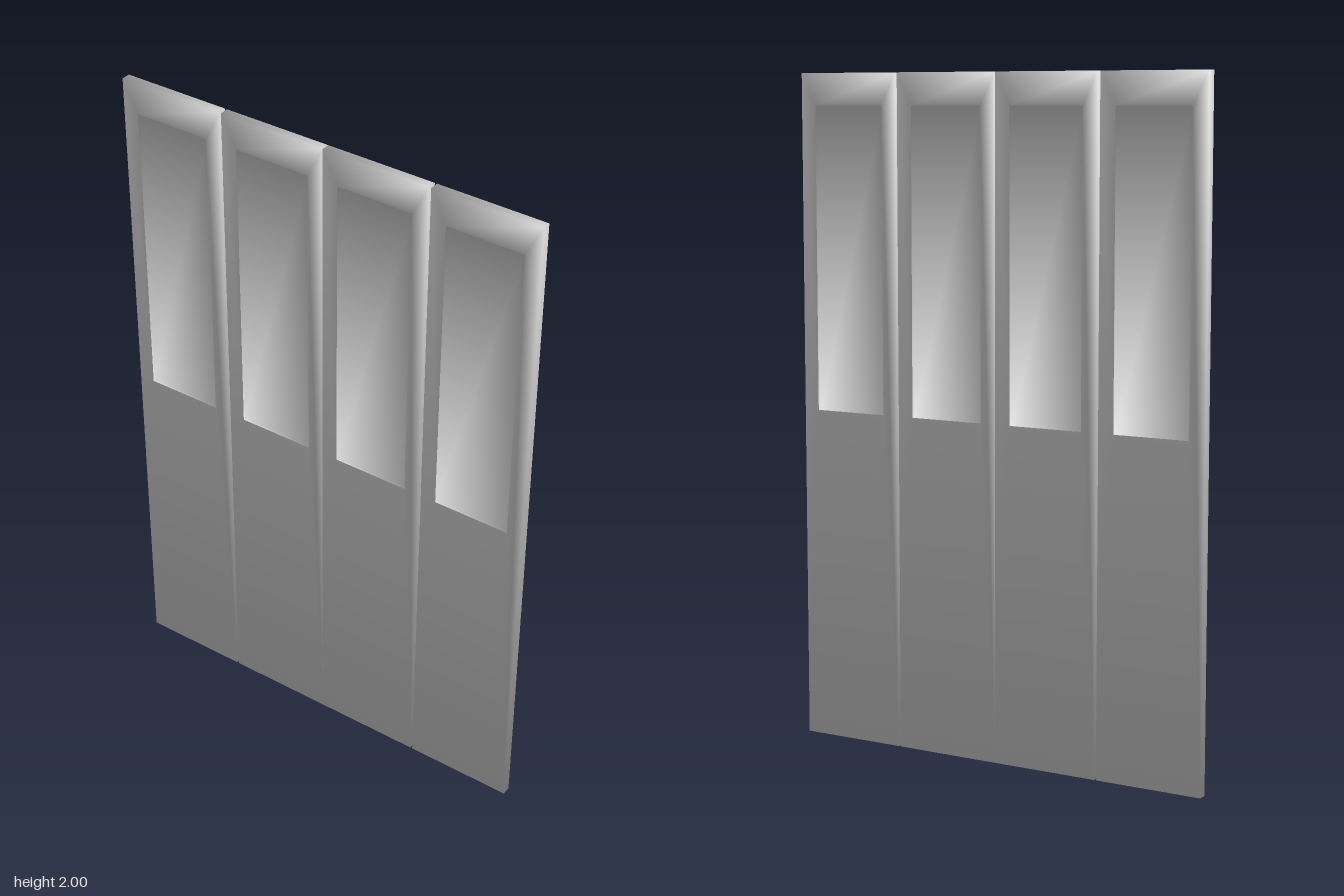
import * as THREE from 'three';

const W = 0.329, H = 2, D = 0.0135;                 // leaf width, height, half thickness
const WIN = { w: 0.233, y0: 1.0, y1: 1.905 };       // window opening
const PANE_Z = 0.005;                               // half thickness of the pane
const CORNERS = [[-1, -1], [1, -1], [1, 1], [-1, 1]];

// Loft rectangular rings together; lean tilts the corner normals outward (1), inward (-1) or not (0)
function loft(rings, cap) {
  const pos = [], nor = [], idx = [];
  for (const { w, y0, y1, z, lean, nz } of rings) {
    for (const [sx, sy] of CORNERS) {
      pos.push(sx * w / 2, sy < 0 ? y0 : y1, z);
      const n = new THREE.Vector3(sx * lean, sy * lean, nz).normalize();
      nor.push(n.x, n.y, n.z);
    }
  }
  for (let r = 0; r < rings.length - 1; r++) {
    for (let i = 0; i < 4; i++) {
      const j = (i + 1) % 4, a = r * 4, b = a + 4;
      idx.push(a + i, a + j, b + j, a + i, b + j, b + i);
    }
  }
  if (cap) {
    const b = (rings.length - 1) * 4;
    idx.push(b, b + 1, b + 2, b, b + 2, b + 3);
  }
  const g = new THREE.BufferGeometry();
  g.setAttribute('position', new THREE.Float32BufferAttribute(pos, 3));
  g.setAttribute('normal', new THREE.Float32BufferAttribute(nor, 3));
  g.setIndex(idx);
  return g;
}

export function createModel() {
  const model = new THREE.Group();
  model.name = 'foldingDoor';
  const material = new THREE.MeshStandardMaterial({ color: 0xcccccc });
  const outer = { w: W, y0: 0, y1: H, lean: 1 };

  // Frame: back face, softly shaded outer edges, front face, with the window left open
  const frameGeo = loft([
    { ...WIN, z: -D, lean: 0, nz: -1 },
    { ...outer, z: -D, nz: -1 },
    { ...outer, z: D, nz: 1 },
    { ...WIN, z: D, lean: 0, nz: 1 },
  ], false);

  // Recess: shallow walls running into the pane
  const recessGeo = loft([
    { ...WIN, z: D, lean: -1, nz: 0 },
    { ...WIN, z: PANE_Z, lean: -1, nz: 1 },
  ], true);

  [-0.5, -0.1645, 0.1645, 0.5].forEach((x, i) => {
    const leaf = new THREE.Group();
    leaf.name = `doorLeaf${i + 1}`;
    leaf.position.x = x;

    const frame = new THREE.Mesh(frameGeo, material);
    frame.name = 'leafFrame';
    leaf.add(frame);

    // Same recessed pane on both faces
    for (const [name, turn] of [['frontPane', 0], ['backPane', Math.PI]]) {
      const pane = new THREE.Mesh(recessGeo, material);
      pane.name = name;
      pane.rotation.y = turn;
      leaf.add(pane);
    }
    model.add(leaf);
  });
  return model;
}
